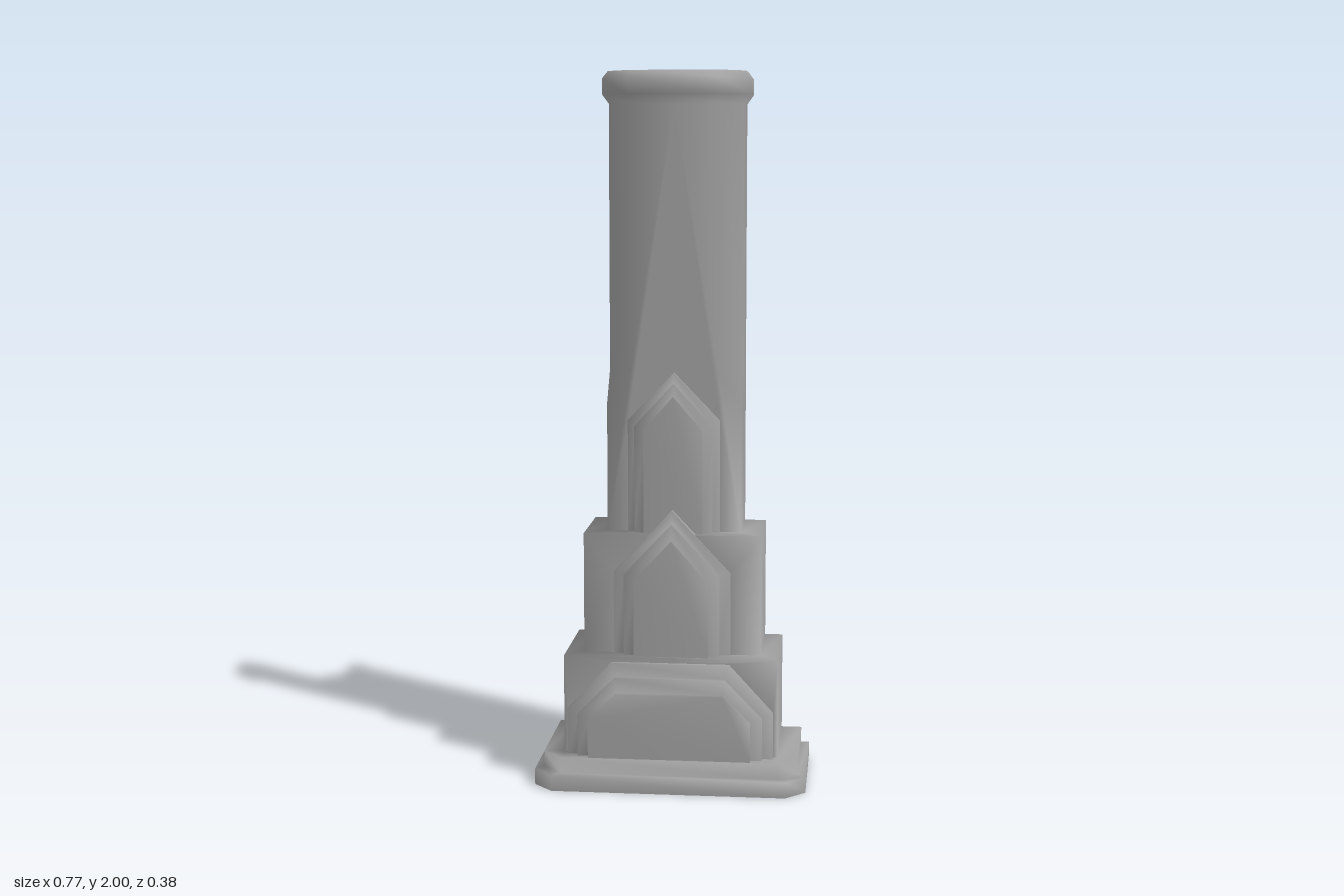
import * as THREE from 'three';
import { mergeGeometries, mergeVertices } from 'three/addons/utils/BufferGeometryUtils.js';

const BACK = -0.191;
const material = new THREE.MeshStandardMaterial({ color: 0xa0a0a0, side: THREE.DoubleSide });

// U-shaped section, open at the back: half width, front depth, corner chamfer, height
const section = (w, zf, c, y) => [
  [w, y, BACK], [w, y, zf - c], [w - c, y, zf],
  [c - w, y, zf], [-w, y, zf - c], [-w, y, BACK],
];

// Skin between successive rows of points; one strip can be left open
function loft(rows, skip = -1) {
  const p = [];
  for (let r = 0; r + 1 < rows.length; r++) {
    for (let i = 0; i + 1 < rows[r].length; i++) {
      if (i === skip) continue;
      const a = rows[r][i], b = rows[r][i + 1], c = rows[r + 1][i + 1], d = rows[r + 1][i];
      p.push(...a, ...d, ...c, ...a, ...c, ...b);
    }
  }
  const g = new THREE.BufferGeometry();
  g.setAttribute('position', new THREE.Float32BufferAttribute(p, 3));
  return g;
}

// Flat face in the xy plane at depth z
function face(points, z) {
  const g = new THREE.ShapeGeometry(new THREE.Shape(points.map(([x, y]) => new THREE.Vector2(x, y))));
  const flat = g.toNonIndexed().translate(0, 0, z);
  flat.deleteAttribute('uv');
  flat.deleteAttribute('normal');
  return flat;
}

// A half face and its mirror image
const mirroredFace = (points, z) => [face(points, z), face(points.map(([x, y]) => [-x, y]), z)];

// Weld the pieces so that the shading runs smoothly over every edge
function part(name, geometries) {
  const geometry = mergeVertices(mergeGeometries(geometries));
  geometry.computeVertexNormals();
  const mesh = new THREE.Mesh(geometry, material);
  mesh.name = name;
  return mesh;
}

// Stepped panel with a back plate; each layer is [half width, shoulder y, half top width, top y, z]
function panel(name, y0, wallZ, layers, extra = []) {
  const outline = ([w, ys, t, yt]) => {
    const top = t > 0 ? [[-t, yt], [t, yt]] : [[0, yt]];
    return [[-w, y0], [-w, ys], ...top, [w, ys], [w, y0]];
  };
  const rows = [];
  let z = wallZ;
  for (const layer of layers) {
    const o = outline(layer);
    rows.push(o.map(([x, y]) => [x, y, z]), o.map(([x, y]) => [x, y, layer[4]]));
    z = layer[4];
  }
  const cap = face(outline(layers[layers.length - 1]), z);
  const plate = face(outline(layers[0]), wallZ + 0.006);
  return part(name, [loft(rows), cap, plate, ...extra]);
}

export function createModel() {
  const group = new THREE.Group();

  // Two-step chamfered plinth with its top ledge
  const plinth = [loft([
    section(0.383, 0.191, 0.055, 0), section(0.383, 0.191, 0.055, 0.045),
    section(0.36, 0.166, 0.055, 0.045), section(0.36, 0.166, 0.055, 0.09),
    section(0.302, 0.108, 0, 0.09),
  ])];

  // Lower tier, opened behind its panel
  const lowerTier = [
    loft([section(0.302, 0.108, 0, 0.09), section(0.302, 0.108, 0, 0.37)], 2),
    loft([section(0.302, 0.108, 0, 0.37), section(0.251, 0.056, 0, 0.37)]),
    ...mirroredFace([[0.29, 0.09], [0.302, 0.09], [0.302, 0.37], [0, 0.37], [0, 0.355], [0.165, 0.355], [0.29, 0.22]], 0.108),
  ];

  // Middle tier, its panel rising past the ledge
  const middleTier = [
    loft([section(0.251, 0.056, 0, 0.37), section(0.251, 0.056, 0, 0.712)], 2),
    loft([section(0.251, 0.056, 0, 0.712), section(0.19, 0, 0, 0.712)]),
    ...mirroredFace([[0.165, 0.37], [0.251, 0.37], [0.251, 0.712], [0.064, 0.712], [0.165, 0.605]], 0.056),
  ];

  // Shaft: square below, chamfered above
  const shaft = [
    loft([
      section(0.19, 0, 0, 0.712), section(0.19, 0, 0, 1.075),
      section(0.19, 0, 0.067, 1.165), section(0.19, 0, 0.067, 1.91),
    ], 2),
    ...mirroredFace([
      [0.13, 0.712], [0.19, 0.712], [0.19, 1.075], [0.123, 1.165],
      [0.123, 1.91], [0, 1.91], [0, 1.165], [0.13, 1.03],
    ], 0),
  ];

  // Flared rim
  const rim = [loft([
    section(0.19, 0, 0.067, 1.91), section(0.208, 0.015, 0.078, 1.935),
    section(0.208, 0.015, 0.078, 1.98), section(0.193, -0.003, 0.069, 2),
  ])];
  group.add(part('towerShell', [...plinth, ...lowerTier, ...middleTier, ...shaft, ...rim]));

  // Stepped panels
  group.add(panel('lowerPanel', 0.09, 0.108, [
    [0.29, 0.22, 0.165, 0.355, 0.125],
    [0.26, 0.21, 0.155, 0.317, 0.143],
    [0.228, 0.2, 0.15, 0.275, 0.162],
  ]));
  const roof = loft([0, 0.056].map((z) => [[-0.064, 0.712, z], [0, 0.78, z], [0.064, 0.712, z]]));
  group.add(panel('middlePanel', 0.37, 0.056, [
    [0.165, 0.605, 0, 0.78, 0.066],
    [0.135, 0.6, 0, 0.745, 0.083],
    [0.105, 0.585, 0, 0.7, 0.101],
  ], [roof]));
  group.add(panel('upperPanel', 0.712, 0, [
    [0.13, 1.03, 0, 1.165, 0.013],
    [0.11, 1.015, 0, 1.135, 0.027],
    [0.083, 1.005, 0, 1.1, 0.041],
  ]));

  return group;
}
